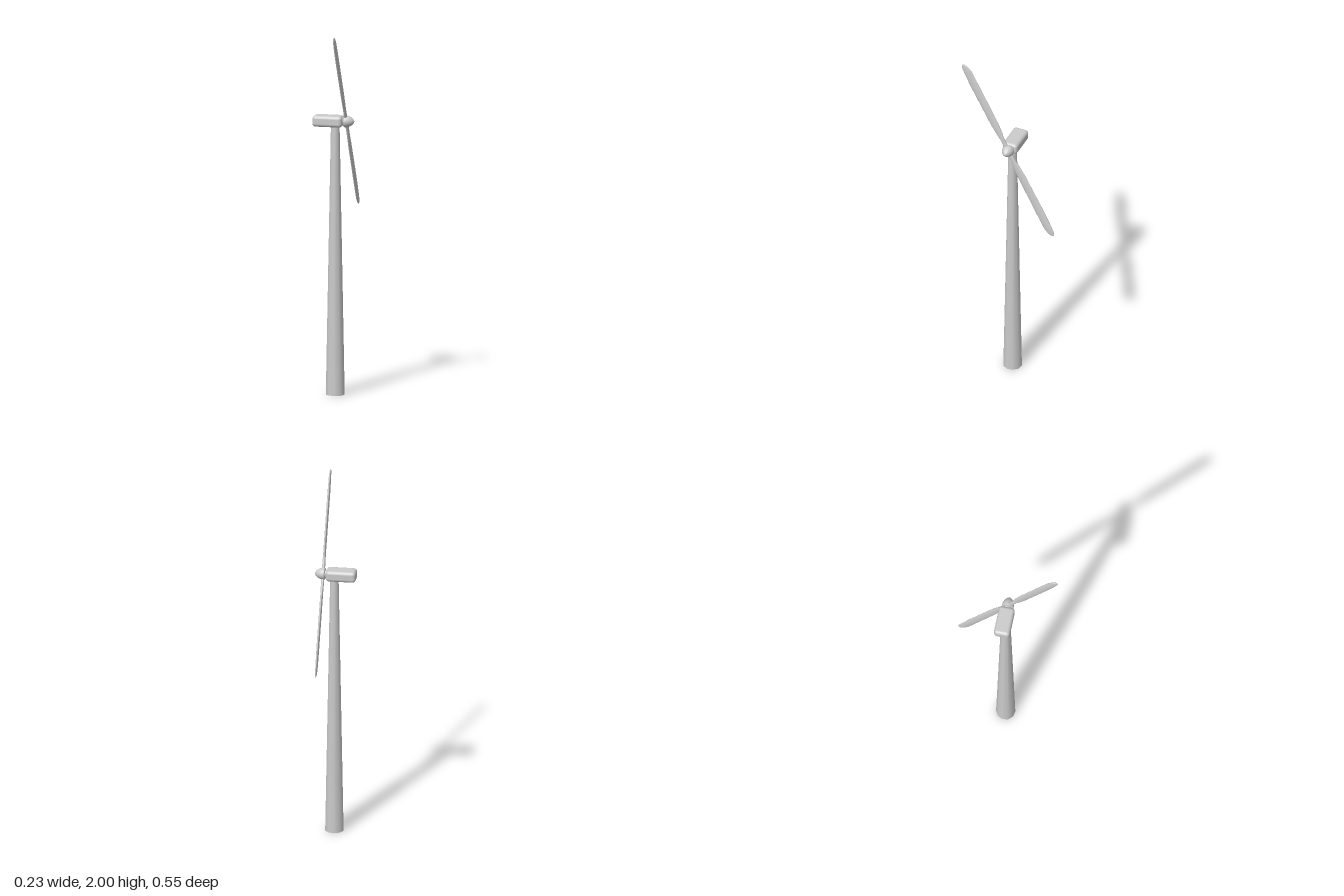
import * as THREE from 'three';
import { RoundedBoxGeometry } from 'three/addons/geometries/RoundedBoxGeometry.js';

const material = new THREE.MeshStandardMaterial({ color: 0xcccccc });

function addPart(parent, name, geometry, x = 0, y = 0, z = 0) {
  const mesh = new THREE.Mesh(geometry, material);
  mesh.name = name;
  mesh.position.set(x, y, z);
  parent.add(mesh);
  return mesh;
}

// Blade lofted along +y from lens sections: [height, back edge, front edge, half thickness]
function bladeGeometry() {
  const sections = [
    [0.0, -0.012, 0.012, 0.009],
    [0.075, -0.012, 0.012, 0.008],
    [0.11, -0.021, 0.019, 0.007],
    [0.17, -0.026, 0.024, 0.007],
    [0.42, -0.028, 0.025, 0.007],
    [0.51, -0.028, 0.022, 0.006],
    [0.54, -0.021, 0.019, 0.005],
    [0.558, -0.01, 0.014, 0.004],
    [0.566, 0.003, 0.003, 0],
  ];
  const sides = 12;
  const positions = [];
  const index = [];
  sections.forEach(([y, back, front, thick], i) => {
    for (let j = 0; j < sides; j++) {
      const t = (j / sides) * Math.PI * 2;
      positions.push(thick * Math.cos(t), y, (back + front) / 2 + ((front - back) / 2) * Math.sin(t));
      if (i === sections.length - 1) continue;
      const a = i * sides + j;
      const b = i * sides + ((j + 1) % sides);
      index.push(a, a + sides, b, b, a + sides, b + sides);
    }
  });
  const geometry = new THREE.BufferGeometry();
  geometry.setAttribute('position', new THREE.Float32BufferAttribute(positions, 3));
  geometry.setIndex(index);
  geometry.computeVertexNormals();
  return geometry;
}

export function createModel() {
  const model = new THREE.Group();
  model.name = 'windTurbine';
  const axisZ = -0.003;
  const hubY = 1.5;

  // Tapered ten-sided tower
  const towerHeight = 1.475;
  addPart(model, 'tower',
    new THREE.CylinderGeometry(0.024, 0.052, towerHeight, 10, 1, false, 0.14),
    0.006, towerHeight / 2, axisZ);

  // Rounded machine housing
  addPart(model, 'nacelle', new RoundedBoxGeometry(0.164, 0.061, 0.087, 3, 0.018),
    -0.032, 1.496, axisZ);

  // Rotor: shaft, spinner and two opposite blades, leaning back very slightly
  const rotor = new THREE.Group();
  rotor.name = 'rotor';
  rotor.position.set(0.067, hubY, axisZ);
  rotor.rotation.z = 0.006;
  model.add(rotor);

  const shaft = addPart(rotor, 'shaft', new THREE.CylinderGeometry(0.02, 0.02, 0.04, 16), -0.02, -0.003, 0);
  shaft.rotation.z = -Math.PI / 2;

  const profile = [
    [0, -0.011], [0.031, -0.011], [0.033, -0.006], [0.033, 0.002], [0.03, 0.014],
    [0.024, 0.026], [0.016, 0.036], [0.007, 0.043], [0, 0.045],
  ].map(([r, h]) => new THREE.Vector2(r, h));
  const spinner = addPart(rotor, 'spinner', new THREE.LatheGeometry(profile, 20), 0, -0.003, 0);
  spinner.rotation.z = -Math.PI / 2;

  const blade = bladeGeometry();
  for (let i = 0; i < 2; i++) {
    addPart(rotor, 'blade' + (i + 1), blade).rotation.x = 0.49 + i * Math.PI;
  }
  return model;
}
